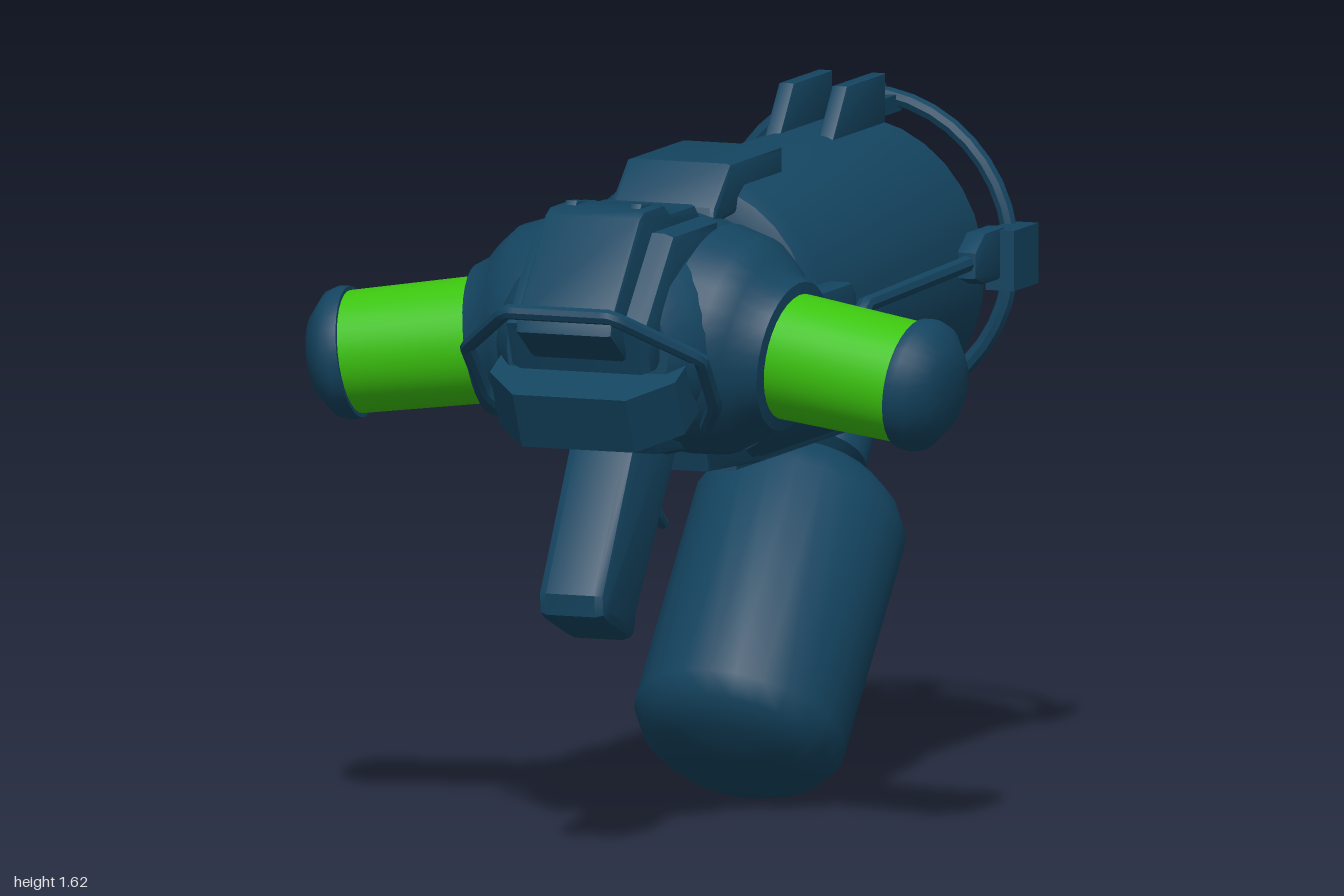
import * as THREE from 'three';
import { toCreasedNormals } from 'three/addons/utils/BufferGeometryUtils.js';

const V = (x, y, z) => new THREE.Vector3(x, y, z);
const navy = new THREE.MeshStandardMaterial({ color: 0x144460, side: THREE.DoubleSide });
const green = new THREE.MeshStandardMaterial({ color: 0x3cc40f });

export function createModel() {
  const model = new THREE.Group();

  const add = (name, geo, mat = navy, parent = model) => {
    const mesh = new THREE.Mesh(toCreasedNormals(geo, 0.6), mat);
    mesh.name = name;
    parent.add(mesh);
    return mesh;
  };
  const lathe = (pts, n = 32) => new THREE.LatheGeometry(pts.map(p => new THREE.Vector2(...p)), n);
  // Profile of [radius, z] pairs turned about the z axis
  const latheZ = (name, pts, y, sx = 1, n = 32) => {
    const mesh = add(name, lathe(pts, n).rotateX(Math.PI / 2).scale(sx, 1, 1));
    mesh.position.y = y;
    return mesh;
  };
  // Side profile of [z, y] pairs extruded across x, width includes the bevel
  const slab = (name, pts, width, x = 0, bevel = 0.012) => {
    const shape = new THREE.Shape(pts.map(p => new THREE.Vector2(...p)));
    const geo = new THREE.ExtrudeGeometry(shape, {
      depth: width - 2 * bevel, bevelEnabled: bevel > 0, bevelThickness: bevel,
      bevelSize: bevel, bevelOffset: -bevel, bevelSegments: 2
    });
    geo.translate(0, 0, -width / 2 + bevel).rotateY(-Math.PI / 2).translate(x, 0, 0);
    return add(name, geo);
  };
  // Bent rod with straight runs
  const rod = (name, pts, r, closed = false) => {
    const path = new THREE.CurvePath();
    pts.slice(1).forEach((p, i) => path.add(new THREE.LineCurve3(pts[i], p)));
    return add(name, new THREE.TubeGeometry(path, 60, r, 8, closed));
  };
  const box = (name, w, h, d, x, y, z) => {
    const mesh = add(name, new THREE.BoxGeometry(w, h, d));
    mesh.position.set(x, y, z);
    return mesh;
  };

  // Hollow barrel, open at the rear
  latheZ('barrel', [[0, -0.3], [0.28, -0.3], [0.28, -0.81], [0.35, -0.81], [0.35, 0.16],
    [0.33, 0.2], [0.28, 0.22], [0, 0.22]], 1.17, 0.95);
  slab('barrelKeel', [[0.13, 0.82], [-0.8, 0.82], [-0.8, 0.95], [0.13, 0.95]], 0.2);

  // Rounded front housing
  latheZ('housing', [[0, 0.1], [0.3, 0.12], [0.29, 0.24], [0.315, 0.3], [0.325, 0.4],
    [0.32, 0.52], [0.29, 0.64], [0.25, 0.74], [0.2, 0.8], [0, 0.81]], 1.18).scale.y = 0.88;
  slab('underHousing', [[0.72, 0.94], [0.44, 0.92], [0.42, 0.86], [0.1, 0.84], [0.1, 1.05], [0.8, 1.05]], 0.3);

  // Stepped nose and top plates
  slab('noseCheeks', [[0.84, 1.14], [0.88, 1.25], [0.7, 1.45], [0.42, 1.45], [0.42, 1.14]], 0.36, 0, 0.03);
  slab('nosePlate', [[0.85, 1.17], [0.95, 1.24], [0.94, 1.28], [0.77, 1.49], [0.74, 1.505], [0.62, 1.505],
    [0.58, 1.48], [0.43, 1.48], [0.39, 1.44], [0.39, 1.2]], 0.24);
  for (const s of [-1, 1]) {
    slab('noseRib', [[0.74, 1.47], [0.7, 1.515], [0.58, 1.5], [0.52, 1.46]], 0.03, s * 0.08, 0.004);
  }
  slab('topPlate', [[0.35, 1.42], [0.34, 1.46], [0.24, 1.55], [-0.08, 1.55], [-0.08, 1.45]], 0.26);

  // Chin block with chamfered corners in plan
  const chin = new THREE.Shape([[-0.23, 0.08], [-0.23, -0.08], [-0.14, -0.17], [0.14, -0.17],
    [0.23, -0.08], [0.23, 0.08]].map(p => new THREE.Vector2(...p)));
  const chinMesh = add('chinBlock', new THREE.ExtrudeGeometry(chin, { depth: 0.14, bevelEnabled: false })
    .rotateX(-Math.PI / 2));
  chinMesh.position.set(0, 1.03, 0.7);
  chinMesh.rotation.x = 0.42;

  // Front guard rail
  const half = [V(0.24, 1.0, 0.66), V(0.285, 1.06, 0.72), V(0.29, 1.18, 0.82), V(0.13, 1.29, 0.975)];
  rod('frontGuard', [...half, ...half.slice().reverse().map(p => V(-p.x, p.y, p.z))], 0.018);

  // Grip and trigger
  slab('grip', [[0.7, 0.98], [0.905, 0.63], [0.9, 0.58], [0.87, 0.56], [0.73, 0.505], [0.7, 0.515],
    [0.69, 0.56], [0.42, 0.94], [0.5, 1.0]], 0.17, 0, 0.025);
  add('trigger', new THREE.TubeGeometry(new THREE.CatmullRomCurve3(
    [V(0, 0.88, 0.37), V(0, 0.81, 0.39), V(0, 0.75, 0.37), V(0, 0.72, 0.335)]), 12, 0.014, 8));

  // Slung tank with neck
  const tank = new THREE.Group();
  tank.name = 'tank';
  tank.position.set(0, 0.013, 0.015);
  tank.rotation.x = -0.701;
  model.add(tank);
  add('tankBody', lathe([[0, 0.13], [0.16, 0.135], [0.22, 0.175], [0.25, 0.225], [0.25, 0.805],
    [0.22, 0.86], [0.165, 0.91], [0, 0.915]], 24), navy, tank);
  add('tankNeck', lathe([[0, 0.9], [0.08, 0.9], [0.08, 0.95], [0.115, 0.97], [0.115, 1.15], [0, 1.15]], 20), navy, tank);

  // Ring guard behind the muzzle
  const ring = add('rearRing', new THREE.TorusGeometry(0.36, 0.02, 8, 40));
  ring.position.set(0, 1.2, -0.905);
  slab('lowerRingBracket', [[-0.6, 0.83], [-0.66, 0.8], [-0.95, 0.8], [-1, 0.89], [-0.96, 0.94], [-0.83, 0.92], [-0.62, 0.9]], 0.13);
  const knob = add('lowerRingKnob', new THREE.CylinderGeometry(0.055, 0.055, 0.16, 12).rotateZ(Math.PI / 2));
  knob.position.set(0, 0.87, -0.92);
  box('upperRingClamp', 0.08, 0.06, 0.08, 0, 1.55, -0.89);

  for (const s of [-1, 1]) {
    // Rear sight fins
    slab('rearFin', [[-0.48, 1.49], [-0.58, 1.62], [-0.815, 1.62], [-0.815, 1.48]], 0.038, s * 0.066, 0.004);
    box('finArm', 0.03, 0.04, 0.14, s * 0.066, 1.54, -0.85);

    // Side ring clamps and rods
    box('sideClamp', 0.07, 0.14, 0.15, s * 0.38, 1.205, -0.86);
    box('clampTip', 0.05, 0.075, 0.04, s * 0.38, 1.205, -0.92);
    slab('clampArm', [[-0.64, 1.18], [-0.64, 1.24], [-0.7, 1.28], [-0.82, 1.28], [-0.82, 1.16], [-0.7, 1.16]], 0.05, s * 0.355, 0.008);
    rod('sideRod', [V(s * 0.33, 1.035, 0.42), V(s * 0.355, 1.035, 0.14), V(s * 0.355, 1.2, -0.02),
      V(s * 0.355, 1.215, -0.7)], 0.02);
    slab('sidePanel', [[0.34, 1.13], [0.34, 1.27], [0.1, 1.27], [0.07, 1.24], [0.07, 1.15], [0.1, 1.13]], 0.08, s * 0.335);

    // Flared socket, glowing canister and end cap along a tilted axis
    const arm = new THREE.Group();
    arm.name = s > 0 ? 'leftCanister' : 'rightCanister';
    arm.position.set(s * 0.37, 1.15, 0.48);
    arm.quaternion.setFromUnitVectors(V(0, 1, 0), V(s * 0.33, -0.045, 0.03).normalize());
    model.add(arm);
    add('socket', lathe([[0.27, -0.2], [0.255, -0.11], [0.22, -0.06], [0.19, -0.03], [0.175, 0.01], [0.14, 0.015]]), navy, arm);
    add('canister', new THREE.CylinderGeometry(0.142, 0.148, 0.36, 32, 1).translate(0, 0.16, 0), green, arm);
    add('endCap', lathe([[0.13, 0.325], [0.152, 0.325], [0.155, 0.35], [0.147, 0.375], [0.1, 0.415], [0.05, 0.425], [0, 0.428]]), navy, arm);
  }
  return model;
}
